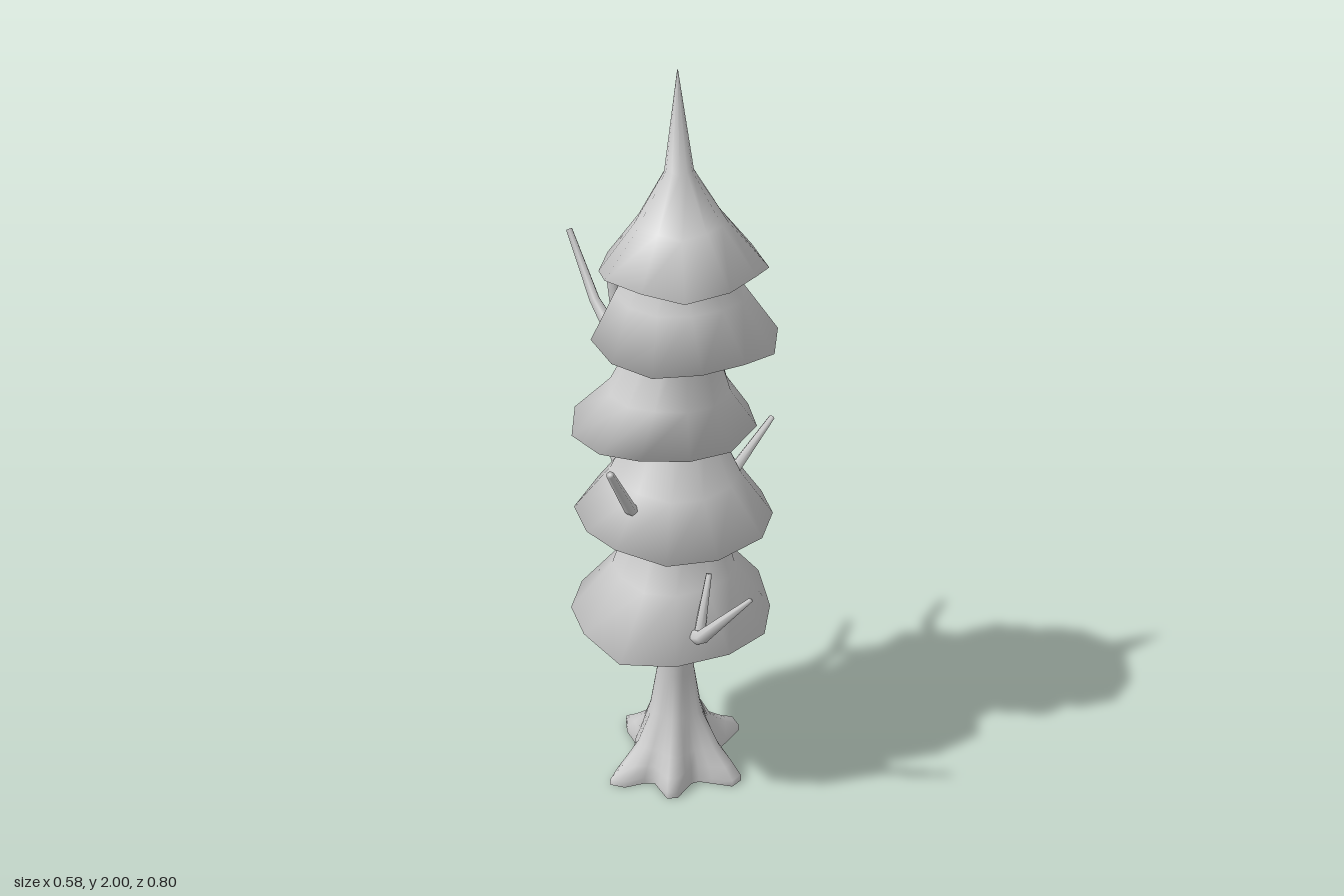
import * as THREE from 'three';

const material = new THREE.MeshStandardMaterial({ color: 0xcccccc, side: THREE.DoubleSide });
const lerp = THREE.MathUtils.lerp;
const TAU = Math.PI * 2;

// Skin a stack of equal-sized rings into one smooth surface; optional end caps
function loft(rings, caps) {
  const n = rings[0].length;
  const points = rings.flat();
  const index = [];
  for (let i = 0; i < rings.length - 1; i++) {
    for (let j = 0; j < n; j++) {
      const k = (j + 1) % n, a = i * n, b = a + n;
      index.push(a + j, b + j, a + k, a + k, b + j, b + k);
    }
  }
  if (caps) {
    for (const [row, flip] of [[0, false], [rings.length - 1, true]]) {
      const c = points.length;
      const mid = new THREE.Vector3();
      rings[row].forEach((p) => mid.add(p));
      points.push(mid.divideScalar(n));
      for (let j = 0; j < n; j++) {
        const p = row * n + j, q = row * n + (j + 1) % n;
        index.push(c, flip ? q : p, flip ? p : q);
      }
    }
  }
  const geometry = new THREE.BufferGeometry().setFromPoints(points);
  geometry.setIndex(index);
  geometry.computeVertexNormals();
  return geometry;
}

function ring(n, fn) {
  return Array.from({ length: n }, (_, j) => fn((j / n) * TAU, j));
}

function addMesh(group, name, geometry) {
  const mesh = new THREE.Mesh(geometry, material);
  mesh.name = name;
  group.add(mesh);
}

// Tapered limb through [x, y, z, radius] points
function limb(path) {
  const pts = path.map((p) => new THREE.Vector3(p[0], p[1], p[2]));
  const up = new THREE.Vector3(0, 1, 0);
  const rings = pts.map((p, i) => {
    const dir = pts[Math.min(i + 1, pts.length - 1)].clone().sub(pts[Math.max(i - 1, 0)]).normalize();
    const q = new THREE.Quaternion().setFromUnitVectors(up, dir);
    const r = path[i][3];
    return ring(6, (a) => new THREE.Vector3(Math.cos(a) * r, 0, Math.sin(a) * r).applyQuaternion(q).add(p));
  });
  return loft(rings, true);
}

// Trunk, open below, whose foot spreads into root lobes
function trunkGeometry() {
  const cx = 0.005, cz = 0.045;
  // tip x, tip z, slope (smaller is a fatter root)
  const roots = [[0.19, -0.245, 1], [0.245, 0.02, 1], [0.1, 0.24, 0.55], [-0.1, 0.19, 0.55], [-0.215, 0.05, 1], [-0.03, -0.17, 1]]
    .map(([x, z, slope]) => ({ angle: Math.atan2(z - cz, x - cx), reach: Math.hypot(x - cx, z - cz), slope }));
  // y, core radius, root strength
  const rows = [[0, 0.118, 1], [0.02, 0.118, 0.97], [0.055, 0.115, 0.55], [0.1, 0.1, 0.22],
    [0.2, 0.071, 0.01], [0.33, 0.051, 0], [0.5, 0.055, 0], [0.62, 0.05, 0]];
  const rings = rows.map(([y, core, strength]) => ring(36, (a) => {
    let r = core;
    for (const root of roots) {
      const d = Math.atan2(Math.sin(a - root.angle), Math.cos(a - root.angle));
      r += Math.max(0, root.reach - 0.118) * strength ** root.slope * Math.exp(-((d / 0.27) ** 2));
    }
    return new THREE.Vector3(cx + Math.cos(a) * r, y, cz + Math.sin(a) * r);
  }));
  return loft(rings, false);
}

// Rings of one flared skirt: hollow underside, uneven rim, then up to its neck
function skirtRings({ rim, y, top }, number) {
  const [cx, cz, rx, rz] = rim;
  const last = top[top.length - 1];
  return [[y + 0.045, rx * 0.6], [y, rx], ...top].map(([height, r]) => {
    const t = Math.min(1, (height - y) / (last[0] - y) * 1.3);
    const stretch = lerp(rz / rx, 1, t);
    const x = lerp(cx, 0.01, t), z = lerp(cz, 0.035, t);
    return ring(12, (angle, j) => {
      const k = r * (1 + (1 - t) * 0.035 * Math.sin(j * 2.4 + number * 1.7));
      const dy = (1 - t) * 0.012 * Math.sin(j * 1.9 + number * 2.3);
      const a = angle + (number - 1) * 0.13;
      return new THREE.Vector3(x + Math.cos(a) * k, height + dy, z + Math.sin(a) * k * stretch);
    });
  });
}

export function createModel() {
  const tree = new THREE.Group();
  tree.name = 'pineTree';
  addMesh(tree, 'trunkAndRoots', trunkGeometry());

  // rim = centre x, centre z, radius x, radius z; top = [height, radius] rows
  const skirts = [
    { rim: [-0.005, 0.04, 0.277, 0.272], y: 0.54, top: [[0.68, 0.165], [0.91, 0.092]] },
    { rim: [0.005, 0.04, 0.258, 0.26], y: 0.845, top: [[0.965, 0.167], [1.14, 0.085]] },
    { rim: [0.01, -0.025, 0.24, 0.228], y: 1.08, top: [[1.19, 0.155], [1.38, 0.082]] },
    { rim: [0.04, 0.03, 0.232, 0.222], y: 1.33, top: [[1.46, 0.16], [1.59, 0.085]] },
    { rim: [0.005, 0.065, 0.205, 0.198], y: 1.54, top: [[1.65, 0.112], [1.77, 0.035], [2.0, 0.001]] },
  ];
  // Foliage: each neck runs on into the underside of the next skirt
  const collar = ring(12, (a) => new THREE.Vector3(0.005 + Math.cos(a) * 0.05, 0.62, 0.045 + Math.sin(a) * 0.05));
  addMesh(tree, 'foliage', loft([collar, ...skirts.flatMap((s, i) => skirtRings(s, i + 1))], false));

  // Bare branches poking through the foliage
  const branches = {
    frontBranch: [[0, 0.46, 0.06, 0.034], [-0.06, 0.535, 0.15, 0.034], [-0.06, 0.6, 0.27, 0.019], [0, 0.77, 0.395, 0.006]],
    frontTwig: [[-0.055, 0.59, 0.25, 0.016], [0, 0.74, 0.21, 0.008]],
    rightSideBranch: [[-0.1, 0.86, 0.06, 0.02], [-0.18, 0.95, 0.12, 0.016], [-0.28, 1.12, 0.2, 0.01]],
    leftSideBranch: [[0.07, 0.93, 0.14, 0.016], [0.14, 0.97, 0.12, 0.015], [0.285, 1.05, 0.07, 0.008]],
    lowerBackBranch: [[0.02, 0.59, -0.16, 0.026], [0.015, 0.66, -0.19, 0.025], [0, 0.85, -0.25, 0.018], [0.02, 1.0, -0.385, 0.007]],
    lowerBackTwig: [[0, 0.83, -0.25, 0.016], [0.02, 0.98, -0.22, 0.008]],
    upperBackBranch: [[0, 1.16, -0.08, 0.03], [-0.02, 1.22, -0.17, 0.028], [-0.03, 1.32, -0.3, 0.015], [-0.05, 1.49, -0.39, 0.009]],
    upperBackTwig: [[-0.02, 1.22, -0.17, 0.024], [-0.04, 1.47, -0.2, 0.015]],
  };
  for (const [name, path] of Object.entries(branches)) addMesh(tree, name, limb(path));
  return tree;
}
